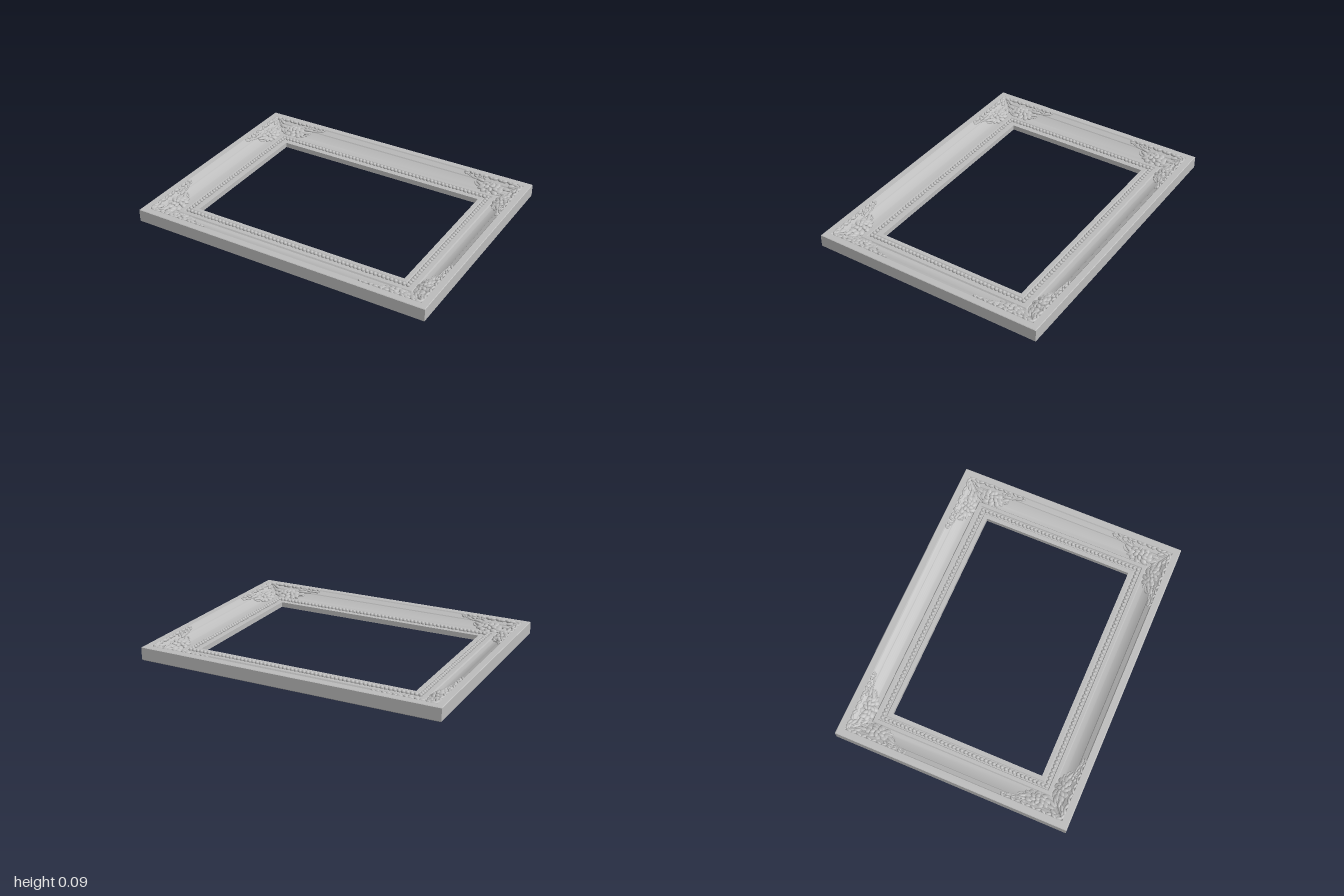
import * as THREE from 'three';
import { mergeGeometries, toCreasedNormals } from 'three/addons/utils/BufferGeometryUtils.js';

const HALF_X = 1, HALF_Z = 0.77;
const grey = new THREE.MeshStandardMaterial({ color: 0xbcbcbc });
grey.name = 'plain grey';

// Moulding cross-section: [inset from outer edge, height]
const profile = [[0.006, 0], [0, 0.006], [0, 0.085], [0.004, 0.088], [0.044, 0.088], [0.05, 0.081], [0.078, 0.066], [0.082, 0.06]];
for (let i = 1; i <= 8; i++) {
  const u = i / 8;
  profile.push([0.082 + 0.084 * u, 0.06 - 0.03 * (1 - (1 - u) ** 1.9)]);
}
profile.push([0.172, 0.038], [0.194, 0.038], [0.198, 0.031], [0.234, 0.031], [0.238, 0.036], [0.265, 0.034], [0.265, 0]);

// Height of the moulding at a given inset
function heightAt(t) {
  for (let i = 3; i < profile.length - 1; i++) {
    const [a, ya] = profile[i], [b, yb] = profile[i + 1];
    if (t >= a && t <= b && b > a) return ya + (yb - ya) * (t - a) / (b - a);
  }
  return 0.088;
}

// Sweep the cross-section round the four mitred sides
function mouldingGeometry() {
  const corners = [[1, 1], [1, -1], [-1, -1], [-1, 1]];
  const point = (k, i) => {
    const [sx, sz] = corners[k % 4], [t, y] = profile[i];
    return [sx * (HALF_X - t), y, sz * (HALF_Z - t)];
  };
  const pos = [];
  for (let k = 0; k < 4; k++) {
    for (let i = 0; i < profile.length - 1; i++) {
      const a = point(k, i), b = point(k + 1, i), c = point(k + 1, i + 1), d = point(k, i + 1);
      pos.push(...a, ...b, ...c, ...a, ...c, ...d);
    }
  }
  const geo = new THREE.BufferGeometry();
  geo.setAttribute('position', new THREE.Float32BufferAttribute(pos, 3));
  return toCreasedNormals(geo, 0.35);
}

// Apply a matrix and keep faces outward when it mirrors
function transformed(geo, matrix) {
  const g = geo.clone().applyMatrix4(matrix);
  if (matrix.determinant() < 0) {
    const ix = g.index.array;
    for (let i = 0; i < ix.length; i += 3) [ix[i], ix[i + 2]] = [ix[i + 2], ix[i]];
  }
  return g;
}

// One ornament arm: x runs along the side from the corner, z is the inset
function ornamentArm() {
  const parts = [];
  const blob = (s, t, y, len, wid, high, turn = 0, tilt = 0) => {
    const g = new THREE.SphereGeometry(1, 12, 8);
    g.scale(len, high, wid).rotateY(-turn).rotateX(tilt).translate(s, y, t);
    parts.push(g);
  };
  const scroll = (pts, r) => {
    const path = new THREE.CatmullRomCurve3(pts.map(([s, t, lift]) => new THREE.Vector3(s, heightAt(t) + lift, t)));
    parts.push(new THREE.TubeGeometry(path, 18, r, 6));
  };

  // Rose lying on the cove
  const roseS = 0.235, roseT = 0.118, slope = 0.33;
  const ring = (count, rs, rt, len, wid, lift, phase) => {
    for (let i = 0; i < count; i++) {
      const a = phase + i / count * Math.PI * 2;
      const t = roseT + Math.sin(a) * rt;
      blob(roseS + Math.cos(a) * rs, t, 0.045 - (t - roseT) * slope + lift, len, wid, 0.011, a + 0.5, slope);
    }
  };
  ring(9, 0.062, 0.034, 0.026, 0.019, 0.002, 0);
  ring(6, 0.034, 0.019, 0.022, 0.014, 0.011, 0.4);
  blob(roseS, roseT, 0.064, 0.016, 0.013, 0.009, 0, slope);

  // Leaves fanning out on both sides of the rose
  for (const [s, t, len, wid, turn] of [
    [0.145, 0.13, 0.034, 0.013, 0.5], [0.14, 0.1, 0.032, 0.012, 0.1],
    [0.115, 0.075, 0.026, 0.012, 0.5], [0.085, 0.062, 0.022, 0.01, 0.1],
    [0.325, 0.105, 0.036, 0.012, -0.5], [0.335, 0.082, 0.034, 0.011, -0.2],
    [0.3, 0.135, 0.028, 0.011, 0.2]
  ]) blob(s, t, heightAt(t) + 0.006, len, wid, 0.01, turn, 0.25);

  // Row of leaves along the rim edge, tapering away from the corner
  for (let i = 0; i < 12; i++) {
    const s = 0.07 + i * 0.034, taper = 1 - i * 0.035;
    blob(s, 0.053, 0.083, 0.023 * taper, 0.011 * taper, 0.011, i % 2 ? 0.5 : -0.3);
    if (i > 6) blob(s, 0.068, 0.076, 0.02 * taper, 0.009 * taper, 0.007, -0.4);
  }

  // Curling stems
  scroll([[0.46, 0.056, 0.004], [0.41, 0.075, 0.005], [0.36, 0.084, 0.008], [0.32, 0.075, 0.008], [0.335, 0.062, 0.008], [0.355, 0.068, 0.008]], 0.005);
  scroll([[0.36, 0.1, 0.004], [0.345, 0.12, 0.006], [0.315, 0.125, 0.008], [0.305, 0.11, 0.01], [0.325, 0.106, 0.01]], 0.005);
  scroll([[0.07, 0.06, 0.006], [0.11, 0.09, 0.008], [0.145, 0.118, 0.008], [0.165, 0.145, 0.006], [0.185, 0.158, 0.005]], 0.006);
  return mergeGeometries(parts);
}

// Evenly spaced beads round the inner edge
function beadGeometry() {
  const beads = [], bx = HALF_X - 0.216, bz = HALF_Z - 0.216;
  const add = (x, z) => beads.push(new THREE.SphereGeometry(0.0128, 10, 7).translate(x, 0.036, z));
  const nx = 58, nz = 41;
  for (const side of [-1, 1]) {
    for (let i = 0; i <= nx; i++) add(-bx + 2 * bx * i / nx, side * bz);
    for (let i = 1; i < nz; i++) add(side * bx, -bz + 2 * bz * i / nz);
  }
  return mergeGeometries(beads);
}

// Flat back with the opening and four corner holes
const HOLE_R = 0.028, HOLE_X = 0.942, HOLE_Z = 0.712;
const signs = [[1, 1], [1, -1], [-1, -1], [-1, 1]];
function backGeometry() {
  const rect = (path, x, z) => path.moveTo(-x, -z).lineTo(x, -z).lineTo(x, z).lineTo(-x, z).closePath();
  const shape = rect(new THREE.Shape(), HALF_X - 0.006, HALF_Z - 0.006);
  shape.holes.push(rect(new THREE.Path(), HALF_X - 0.265, HALF_Z - 0.265));
  for (const [sx, sz] of signs) {
    shape.holes.push(new THREE.Path().absarc(sx * HOLE_X, sz * HOLE_Z, HOLE_R, 0, Math.PI * 2));
  }
  return new THREE.ShapeGeometry(shape, 12).rotateX(Math.PI / 2);
}

export function createModel() {
  const model = new THREE.Group();
  model.name = 'pictureFrame';
  const add = (name, geo) => {
    const mesh = new THREE.Mesh(geo, grey);
    mesh.name = name;
    model.add(mesh);
  };
  add('moulding', mouldingGeometry());
  add('back', backGeometry());
  add('beading', beadGeometry());

  const arm = ornamentArm();
  const holeWall = new THREE.CylinderGeometry(HOLE_R, HOLE_R, 0.02, 24, 1, true);
  for (const [sx, sz] of signs) {
    // Each corner has two arms, mirrored across the mitre
    const alongX = new THREE.Matrix4().set(-sx, 0, 0, sx * HALF_X, 0, 1, 0, 0, 0, 0, -sz, sz * HALF_Z, 0, 0, 0, 1);
    const alongZ = new THREE.Matrix4().set(0, 0, -sx, sx * HALF_X, 0, 1, 0, 0, -sz, 0, 0, sz * HALF_Z, 0, 0, 0, 1);
    add('cornerOrnament', mergeGeometries([transformed(arm, alongX), transformed(arm, alongZ)]));
    // Inward-facing wall of the mounting hole
    const inward = new THREE.Matrix4().makeScale(-1, 1, 1).setPosition(sx * HOLE_X, 0.01, sz * HOLE_Z);
    add('mountingHole', holeWall.clone().applyMatrix4(inward));
  }
  return model;
}
